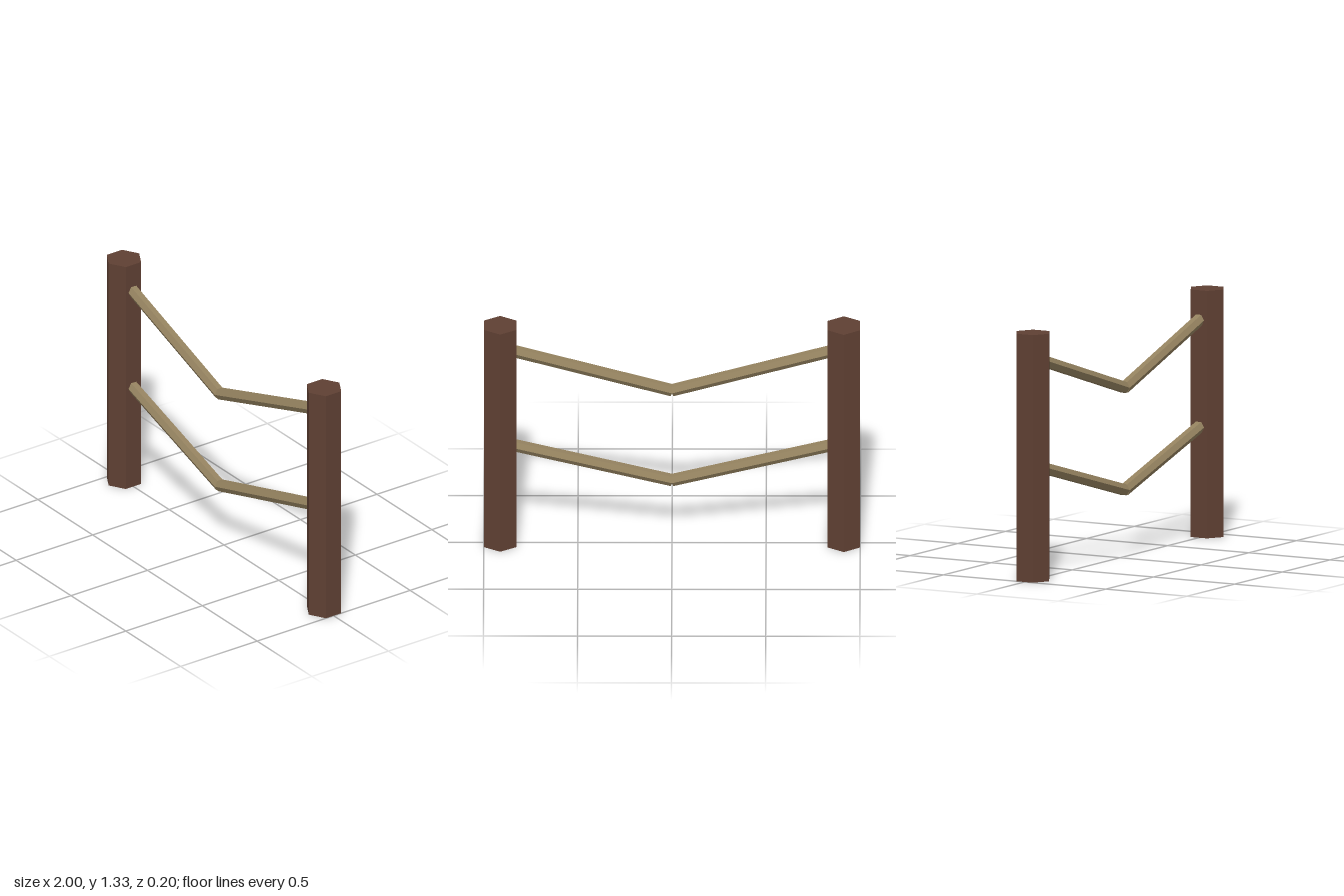
import * as THREE from 'three';

const POST_X = 0.913;
const POST_H = 1.33;

// Six-sided bar running between two points, corners facing front and back
function bar(name, from, to, radius, material) {
  const dir = to.clone().sub(from);
  const mesh = new THREE.Mesh(new THREE.CylinderGeometry(radius, radius, dir.length(), 6), material);
  mesh.name = name;
  mesh.position.copy(from).add(to).multiplyScalar(0.5);
  mesh.quaternion.setFromUnitVectors(new THREE.Vector3(0, 1, 0), dir.normalize());
  return mesh;
}

export function createModel() {
  const wood = new THREE.MeshStandardMaterial({ color: 0x5f4033, flatShading: true });
  const hemp = new THREE.MeshStandardMaterial({ color: 0x94825f, flatShading: true });
  const model = new THREE.Group();
  model.name = 'ropeFence';

  const ropes = [
    { name: 'upperRope', sagY: 0.917, endY: 1.195 },
    { name: 'lowerRope', sagY: 0.367, endY: 0.617 },
  ];

  for (const [side, s] of [['left', 1], ['right', -1]]) {
    // Hexagonal post
    model.add(bar(side + 'Post',
      new THREE.Vector3(s * POST_X, 0, 0), new THREE.Vector3(s * POST_X, POST_H, 0), 0.1, wood));

    // Rope halves sagging from the post to the middle, bowed slightly forward
    for (const { name, sagY, endY } of ropes) {
      model.add(bar(side + name[0].toUpperCase() + name.slice(1),
        new THREE.Vector3(0, sagY, 0.028), new THREE.Vector3(s * POST_X, endY, -0.004), 0.033, hemp));
    }
  }
  return model;
}
